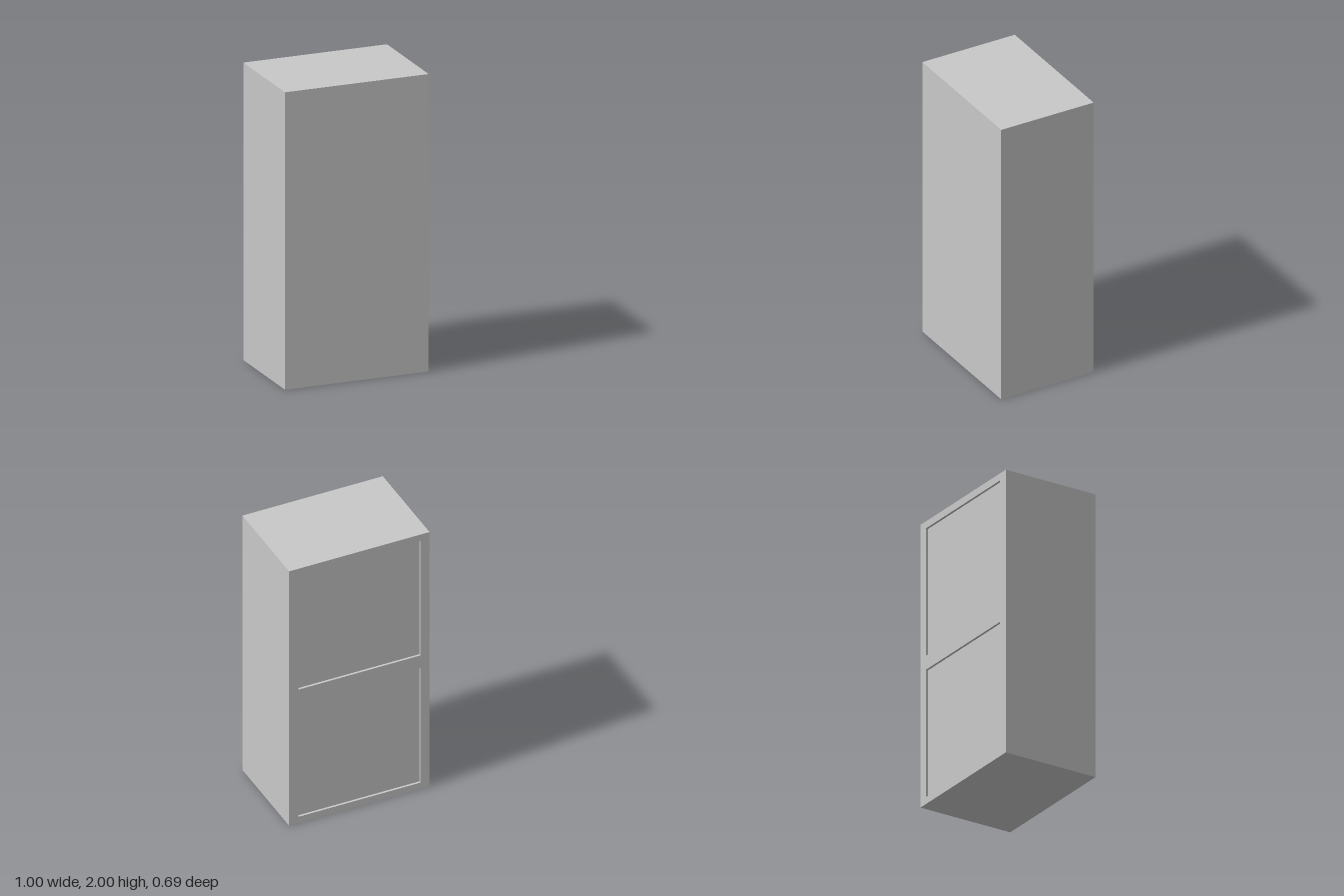
import * as THREE from 'three';

const W = 1, H = 2, D = 0.687, RECESS = 0.016;

// Rectangle outline from its edges
function rect(PathType, x0, y0, x1, y1) {
  return new PathType([[x0, y0], [x1, y0], [x1, y1], [x0, y1]].map(([x, y]) => new THREE.Vector2(x, y)));
}

export function createModel() {
  const lightGrey = new THREE.MeshStandardMaterial({ color: 0xc8c8c8 });
  lightGrey.name = 'lightGrey';
  const model = new THREE.Group();
  model.name = 'cabinet';

  // Solid body; its back face is the floor of the recessed panels
  const body = new THREE.Mesh(new THREE.BoxGeometry(W, H, D - RECESS), lightGrey);
  body.name = 'body';
  body.position.set(0, H / 2, RECESS / 2);
  model.add(body);

  // Back frame with two stacked openings
  const outline = rect(THREE.Shape, -W / 2, 0, W / 2, H);
  for (const y of [0.05, 1.05]) outline.holes.push(rect(THREE.Path, -0.435, y, 0.435, y + 0.9));
  const frame = new THREE.Mesh(
    new THREE.ExtrudeGeometry(outline, { depth: RECESS, bevelEnabled: false }), lightGrey);
  frame.name = 'backFrame';
  frame.position.z = -D / 2;
  model.add(frame);

  return model;
}
